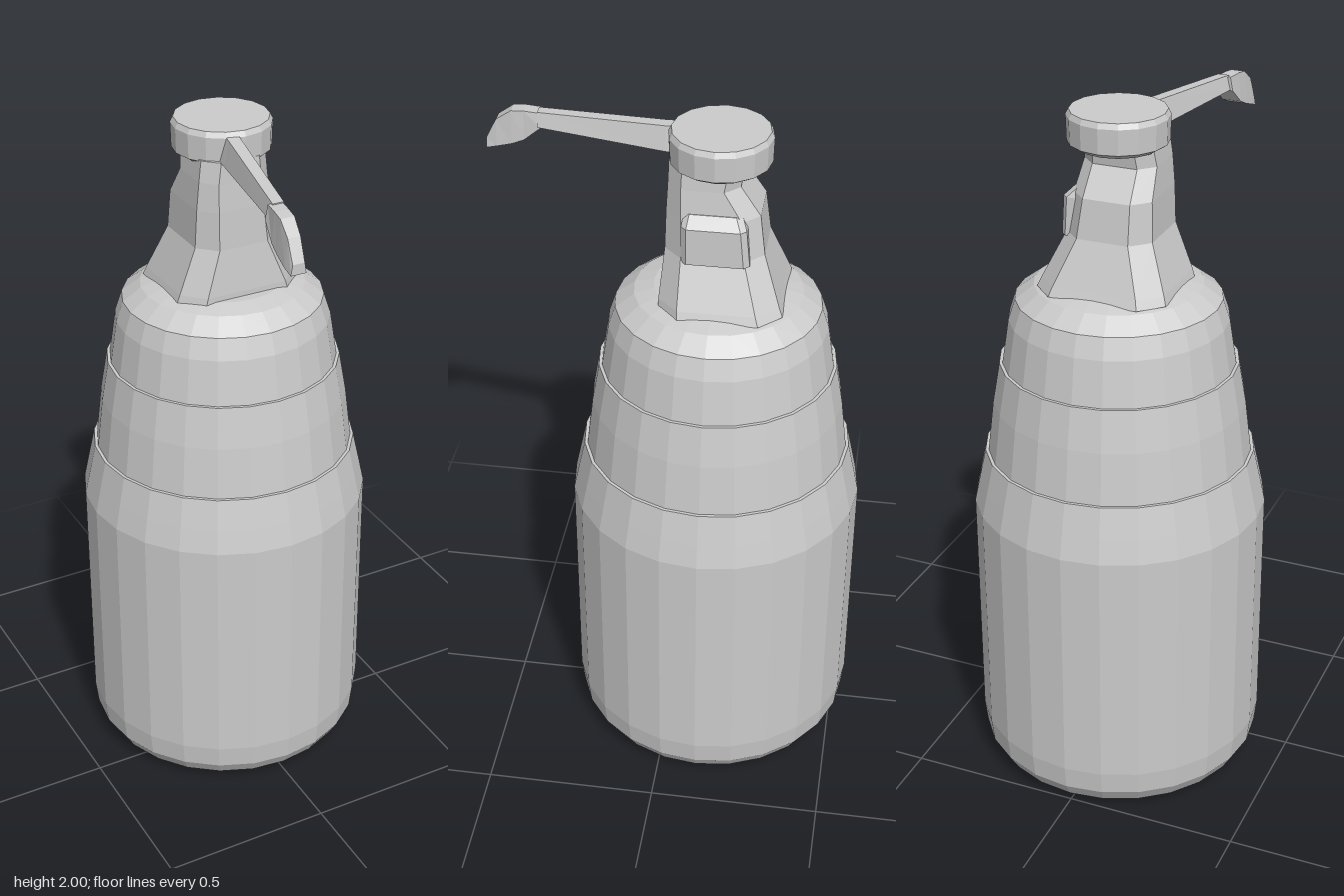
import * as THREE from 'three';

const AXIS_Z = -0.12; // the bottle axis sits behind the origin, balancing the spout
const grey = new THREE.MeshStandardMaterial({ color: 0xcccccc, flatShading: true });

function add(group, name, geometry, z = 0) {
  const mesh = new THREE.Mesh(geometry, grey);
  mesh.name = name;
  mesh.position.z = z;
  group.add(mesh);
  return mesh;
}

function lathe(profile, sides) {
  return new THREE.LatheGeometry(profile.map(([r, y]) => new THREE.Vector2(r, y)), sides);
}

// Skin over rings of equal point count, closed by a flat cap at each end.
// Rings run counter-clockwise when seen from the last ring's end.
function loft(rings) {
  const n = rings[0].length, index = [], last = (rings.length - 1) * n;
  for (let r = 0; r < rings.length - 1; r++) {
    for (let i = 0; i < n; i++) {
      const j = (i + 1) % n, a = r * n + i, b = r * n + j;
      index.push(a, b, b + n, a, b + n, a + n);
    }
  }
  for (let i = 1; i < n - 1; i++) {
    index.push(0, i + 1, i, last, last + i, last + i + 1);
  }
  const g = new THREE.BufferGeometry();
  g.setAttribute('position', new THREE.Float32BufferAttribute(rings.flat(2), 3));
  g.setIndex(index);
  g.computeVertexNormals();
  return g;
}

// Rectangle with cut corners, lying level at height y
function octagon(y, x0, x1, z0, z1, cut) {
  return [
    [x1, y, z1 - cut], [x1, y, z0 + cut], [x1 - cut, y, z0], [x0 + cut, y, z0],
    [x0, y, z0 + cut], [x0, y, z1 - cut], [x0 + cut, y, z1], [x1 - cut, y, z1],
  ];
}

// Upright rectangular section of the spout, tapering toward its top
function spoutSection([z, x, low, high, half, topHalf = half]) {
  return [[x + half, low, z], [x + topHalf, high, z], [x - topHalf, high, z], [x - half, low, z]];
}

export function createModel() {
  const model = new THREE.Group();
  model.name = 'pumpBottle';

  // Bottle with rounded foot, straight wall and stepped tapering shoulder
  add(model, 'bottle', lathe([
    [0, 0.01], [0.33, 0.01], [0.385, 0.025], [0.412, 0.07], [0.42, 0.14],
    [0.42, 0.85], [0.405, 0.92], [0.385, 1.01], [0.376, 1.01], [0.358, 1.16],
    [0.337, 1.28], [0.328, 1.28], [0.308, 1.41], [0.288, 1.47],
    [0.235, 1.51], [0.18, 1.525], [0, 1.525],
  ], 24), AXIS_Z);

  // Flat base pad
  add(model, 'base', new THREE.CylinderGeometry(0.32, 0.3, 0.02, 12), AXIS_Z).position.y = 0.01;

  // Flared collar and neck, leaning forward toward the cap
  add(model, 'neck', loft([
    octagon(1.515, -0.188, 0.188, -0.308, 0.03, 0.06),
    octagon(1.54, -0.18, 0.178, -0.298, 0.03, 0.058),
    octagon(1.67, -0.13, 0.118, -0.25, 0.02, 0.05),
    octagon(1.78, -0.125, 0.1, -0.235, 0.018, 0.045),
    octagon(1.86, -0.118, 0.09, -0.18, 0.014, 0.04),
    octagon(1.92, -0.11, 0.085, -0.19, 0.012, 0.04),
  ]));

  // Locking tab on the left of the neck
  add(model, 'neckTab', loft([
    octagon(1.66, 0.04, 0.132, -0.215, -0.03, 0.015),
    octagon(1.765, 0.04, 0.13, -0.205, -0.03, 0.015),
    octagon(1.795, 0.04, 0.1, -0.19, -0.035, 0.015),
  ]));

  // Press cap with a bevelled underside
  add(model, 'cap', lathe([
    [0, 1.9], [0.115, 1.9], [0.138, 1.915], [0.14, 1.985], [0.132, 2], [0, 2],
  ], 16), AXIS_Z);

  // Spout arm, angled to the right
  add(model, 'spoutArm', loft([
    [-0.02, -0.03, 1.918, 1.99, 0.035, 0.018],
    [0.03, -0.038, 1.918, 1.985, 0.034, 0.018],
    [0.39, -0.108, 1.92, 1.96, 0.026, 0.016],
  ].map(spoutSection)));

  // Down-turned nozzle
  add(model, 'nozzle', loft([
    [0.38, -0.112, 1.918, 1.957, 0.028, 0.02],
    [0.43, -0.12, 1.874, 1.957, 0.028, 0.02],
    [0.465, -0.124, 1.858, 1.953, 0.028, 0.02],
    [0.51, -0.13, 1.843, 1.92, 0.026, 0.018],
    [0.54, -0.133, 1.833, 1.862, 0.022, 0.017],
  ].map(spoutSection)));

  return model;
}
